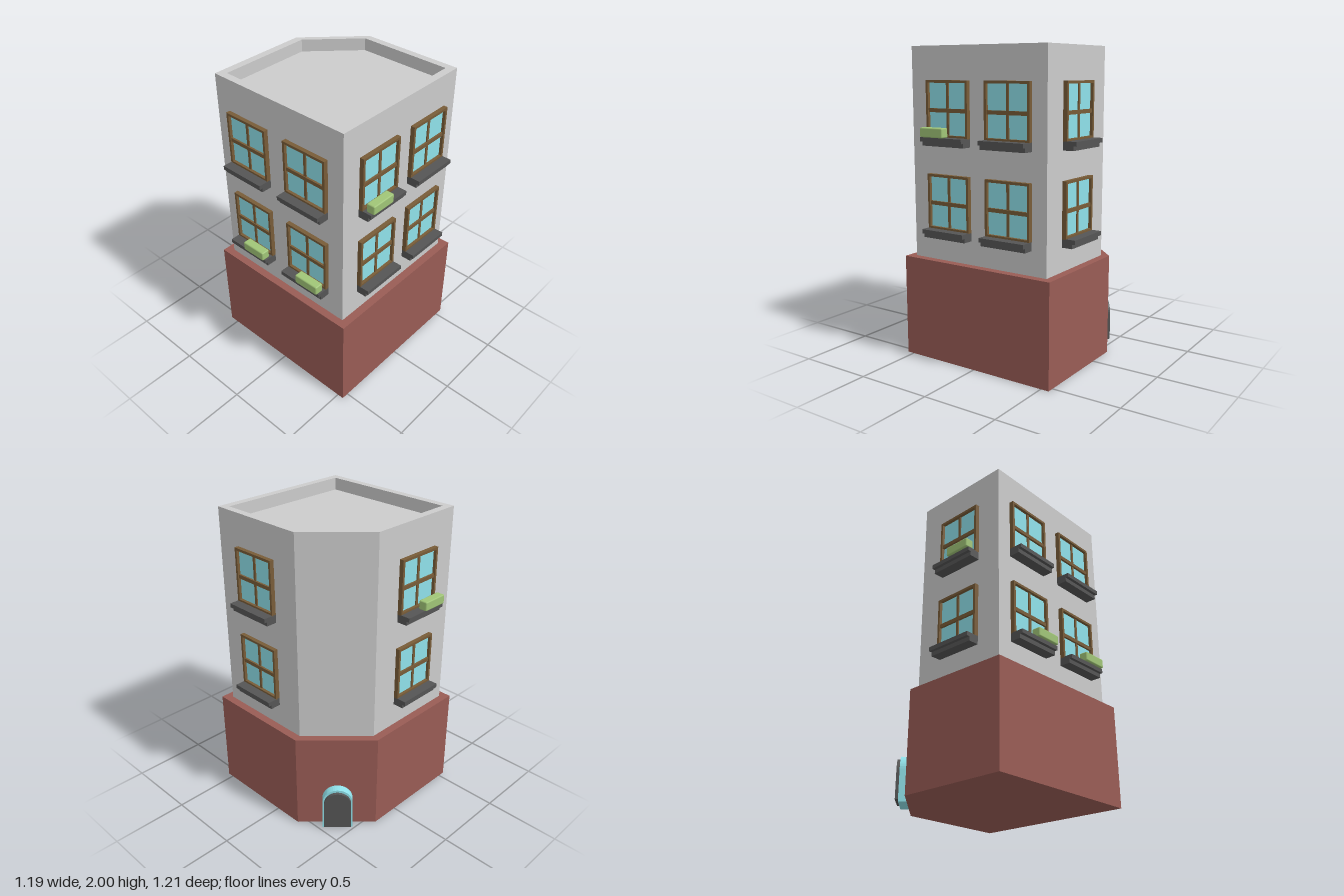
import * as THREE from 'three';
import { RoundedBoxGeometry } from 'three/addons/geometries/RoundedBoxGeometry.js';

const mat = (color) => new THREE.MeshStandardMaterial({ color });
const GREY = mat(0xcccccc), BRICK = mat(0x995c55), WOOD = mat(0x785c38),
  GLASS = mat(0x8fe1ea), DARK = mat(0x555555), GREEN = mat(0xa0c577);

function add(parent, name, geometry, material, x = 0, y = 0, z = 0) {
  const mesh = new THREE.Mesh(geometry, material);
  mesh.name = name;
  mesh.position.set(x, y, z);
  parent.add(mesh);
  return mesh;
}
const box = (w, h, d) => new THREE.BoxGeometry(w, h, d);

// Square plan with the back right corner cut off, as [x, z] points
function plan(x0, x1, z0, z1, cutX, cutZ) {
  return [[x0, z1], [x1, z1], [x1, cutZ], [cutX, z0], [x0, z0]]
    .map(([x, z]) => new THREE.Vector2(x, -z));
}

// Extrudes a plan upwards from y = 0
function prism(points, height, hole) {
  const shape = new THREE.Shape(points);
  if (hole) shape.holes.push(new THREE.Path(hole));
  return new THREE.ExtrudeGeometry(shape, { depth: height, bevelEnabled: false }).rotateX(-Math.PI / 2);
}

// Window in local space: origin at the bottom middle on the wall, facing +z
function makeWindow(planterX) {
  const g = new THREE.Group();
  g.name = 'window';
  const W = 0.32, H = 0.35, T = 0.016, D = 0.028;
  add(g, 'glass', box(W - 0.01, H - 0.01, 0.01), GLASS, 0, H / 2, 0.004);
  for (const s of [-1, 1]) {
    add(g, 'frameSide', box(T, H, D), WOOD, s * (W - T) / 2, H / 2, D / 2);
    add(g, 'frameRail', box(W - 2 * T, T, D), WOOD, 0, H / 2 + s * (H - T) / 2, D / 2);
  }
  add(g, 'middleRail', box(W - 2 * T, 0.024, 0.022), WOOD, 0, 0.167, 0.011);
  add(g, 'glazingBar', box(0.018, H - 2 * T, 0.016), WOOD, 0, H / 2, 0.008);
  // Two-step sill with the upper slab overhanging
  add(g, 'sillTop', box(W, 0.027, 0.09), DARK, 0, -0.0095, 0.045);
  add(g, 'sillBottom', box(W, 0.027, 0.07), DARK, 0, -0.0365, 0.035);
  if (planterX !== undefined) {
    add(g, 'planter', new RoundedBoxGeometry(0.176, 0.06, 0.058, 1, 0.008), GREEN, planterX, 0.035, 0.076);
  }
  return g;
}

// Round-topped door outline
function arch(half, bottom, top, PathType = THREE.Shape) {
  const p = new PathType();
  p.moveTo(-half, bottom);
  p.lineTo(half, bottom);
  p.lineTo(half, top - half);
  p.absarc(0, top - half, half, 0, Math.PI, false);
  p.lineTo(-half, bottom);
  return p;
}
const slab = (shape, depth) =>
  new THREE.ExtrudeGeometry(shape, { depth, bevelEnabled: false, curveSegments: 10 });

export function createModel() {
  const model = new THREE.Group();
  model.name = 'cornerBuilding';

  // Storeys and sunken roof
  const outer = plan(-0.497, 0.503, -0.51, 0.49, 0.173, -0.18);
  const inner = plan(-0.448, 0.456, -0.461, 0.441, 0.172, -0.177);
  add(model, 'groundFloor', prism(plan(-0.547, 0.555, -0.562, 0.543, 0.19, -0.195), 0.66), BRICK);
  add(model, 'upperWalls', prism(outer, 1.34, inner), GREY, 0, 0.66);
  add(model, 'roof', prism(inner, 1.26), GREY, 0, 0.66);

  // Windows: x, z, turn, then planter offset on the lower and upper floor
  const windows = [
    [-0.205, 0.49, 0, undefined, -0.062],
    [0.24, 0.49, 0],
    [0.503, 0.16, Math.PI / 2],
    [-0.17, -0.51, Math.PI, undefined, 0.067],
    [-0.497, -0.247, -Math.PI / 2, 0.065],
    [-0.497, 0.217, -Math.PI / 2, 0.065],
  ];
  for (const [x, z, turn, ...planters] of windows) {
    [0.862, 1.442].forEach((y, floor) => {
      const w = makeWindow(planters[floor]);
      w.position.set(x, y, z);
      w.rotation.y = turn;
      model.add(w);
    });
  }

  // Door on the cut corner
  const door = new THREE.Group();
  door.name = 'door';
  door.position.set(0.369, 0, -0.382);
  door.rotation.y = Math.PI * 0.75;
  add(door, 'doorFrame', slab(arch(0.098, 0.003, 0.305), 0.063), GLASS, 0, 0, -0.01);
  add(door, 'doorPanel', slab(arch(0.088, 0.02, 0.289), 0.03), DARK, 0, 0, 0.043);
  model.add(door);

  return model;
}
